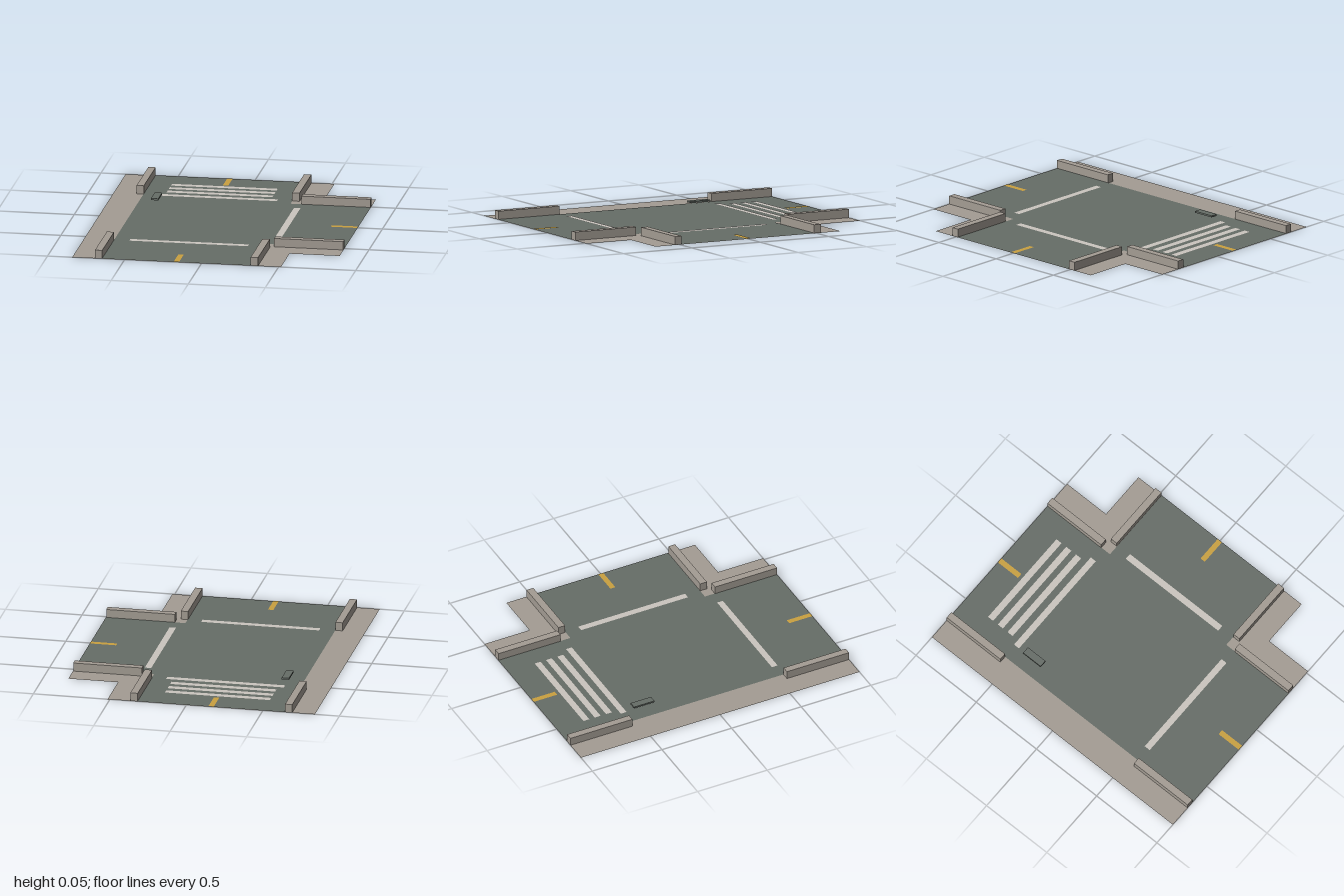
import * as THREE from 'three';

export function createModel() {
  const root = new THREE.Group();
  root.name = 'roadJunction';

  const mat = (name, color, side = THREE.FrontSide) => {
    const m = new THREE.MeshStandardMaterial({ color, side });
    m.name = name;
    return m;
  };
  const pavement = mat('pavement', 0xa39c93, THREE.DoubleSide);
  const asphalt = mat('asphalt', 0x666d67, THREE.DoubleSide);
  const whitePaint = mat('whitePaint', 0xcbc5bf, THREE.DoubleSide);
  const yellowPaint = mat('yellowPaint', 0xc9a040, THREE.DoubleSide);

  const add = (name, geometry, material) => {
    const mesh = new THREE.Mesh(geometry, material);
    mesh.name = name;
    root.add(mesh);
  };

  // Flat T-shaped sheet, symmetric about z = 0
  const sheet = (name, x0, x1, x2, armHalf, y, material) => {
    const shape = new THREE.Shape([
      [x0, -1], [x1, -1], [x1, -armHalf], [x2, -armHalf],
      [x2, armHalf], [x1, armHalf], [x1, 1], [x0, 1],
    ].map(([x, z]) => new THREE.Vector2(x, z)));
    add(name, new THREE.ShapeGeometry(shape).rotateX(-Math.PI / 2).translate(0, y, 0), material);
  };

  // Box and flat marking given by their limits
  const block = (name, x0, x1, y0, y1, z0, z1, material) => add(name,
    new THREE.BoxGeometry(x1 - x0, y1 - y0, z1 - z0)
      .translate((x0 + x1) / 2, (y0 + y1) / 2, (z0 + z1) / 2), material);
  const marking = (name, x0, x1, z0, z1, material) => add(name,
    new THREE.PlaneGeometry(x1 - x0, z1 - z0).rotateX(-Math.PI / 2)
      .translate((x0 + x1) / 2, 0.004, (z0 + z1) / 2), material);

  // Ground surfaces
  sheet('sidewalk', -0.84, 0.515, 0.84, 0.677, 0, pavement);
  sheet('road', -0.645, 0.32, 0.84, 0.483, 0.002, asphalt);

  // Curbs, stop lines and centre dashes on both ends
  for (const s of [-1, 1]) {
    const span = (a, b) => (s > 0 ? [a, b] : [-b, -a]);
    block('leftCurb', 0.318, 0.366, 0, 0.055, ...span(0.555, 1), pavement);
    block('rightCurb', -0.692, -0.645, 0, 0.055, ...span(0.555, 1), pavement);
    block('sideRoadCurb', 0.39, 0.838, 0, 0.055, ...span(0.485, 0.533), pavement);
    marking('stopLine', -0.545, 0.225, ...span(0.522, 0.563), whitePaint);
    marking('centreDash', -0.18, -0.145, ...span(0.833, 1), yellowPaint);
  }
  marking('sideStopLine', 0.36, 0.402, -0.385, 0.382, whitePaint);
  marking('sideCentreDash', 0.667, 0.838, -0.018, 0.017, yellowPaint);

  // Pedestrian crossing
  for (const z of [-0.79, -0.709, -0.628]) {
    marking('crossingStripe', -0.506, 0.18, z - 0.021, z + 0.021, whitePaint);
  }

  // Raised drain cover
  block('drainCover', -0.56, -0.512, 0.026, 0.037, -0.475, -0.33, asphalt);

  return root;
}
